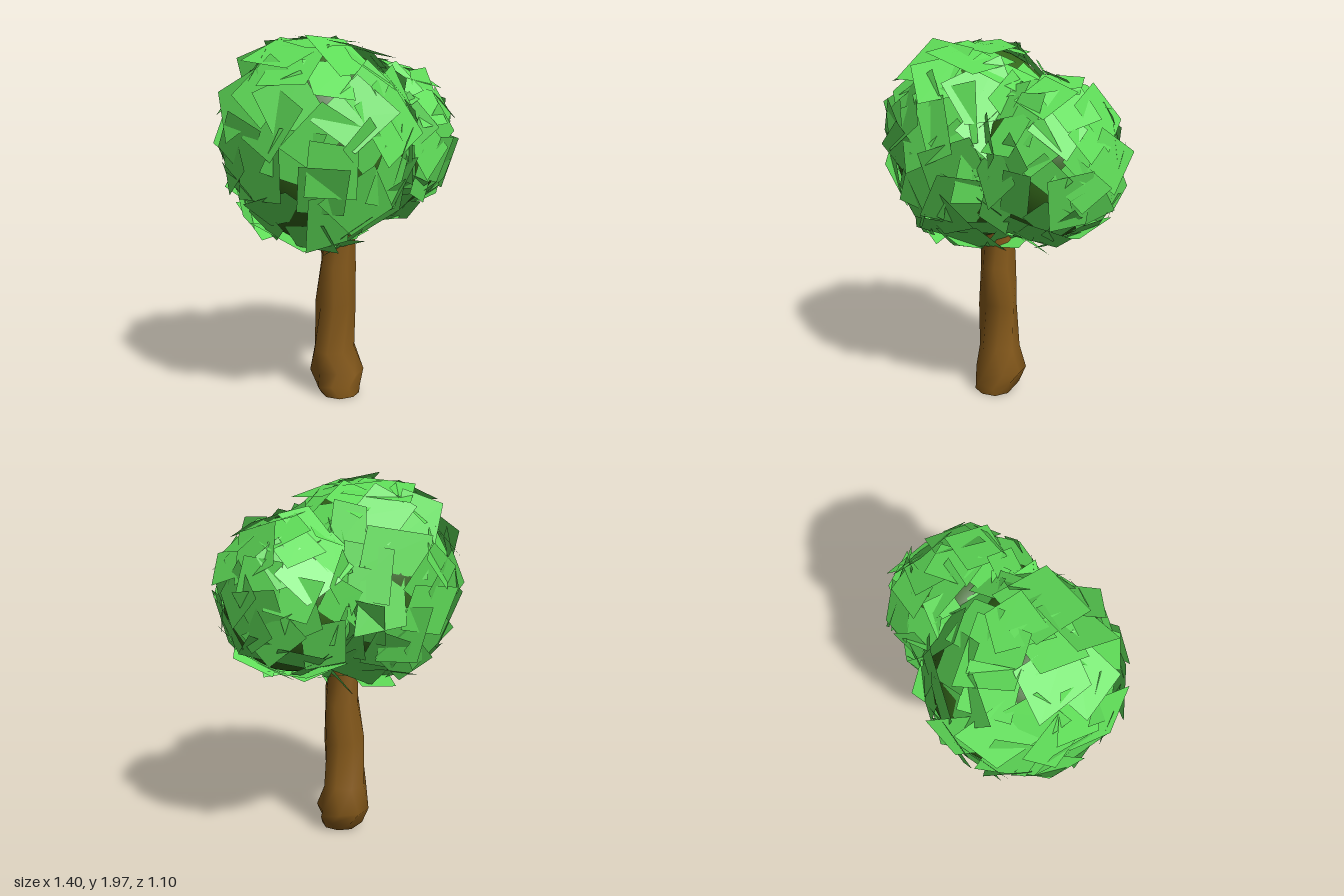
import * as THREE from 'three';
import { mergeGeometries, mergeVertices } from 'three/addons/utils/BufferGeometryUtils.js';

const barkMat = new THREE.MeshStandardMaterial({ color: 0x85591a, side: THREE.DoubleSide });
const coreMat = new THREE.MeshStandardMaterial({ color: 0x33661a });
const leafMat = new THREE.MeshStandardMaterial({ color: 0x5fdd58, side: THREE.DoubleSide });

// Small seeded generator returning values in -1..1
function makeRandom(seed) {
  return () => {
    seed = (seed * 1664525 + 1013904223) % 4294967296;
    return (seed / 4294967296) * 2 - 1;
  };
}

// Trunk outline: [y, xMin, xMax, zMin, zMax]
const trunkRings = [
  [0, -0.16, 0.05, -0.07, 0.14],
  [0.05, -0.18, 0.08, -0.1, 0.14],
  [0.13, -0.18, 0.1, -0.15, 0.14],
  [0.26, -0.18, 0.07, -0.12, 0.1],
  [0.52, -0.175, 0.065, -0.09, 0.1],
  [0.74, -0.14, 0.05, -0.09, 0.11],
  [0.96, -0.135, 0.04, -0.08, 0.11],
];

function makeTrunk() {
  const sides = 8;
  const random = makeRandom(5);
  const positions = [];
  const index = [];
  trunkRings.forEach(([y, x0, x1, z0, z1], r) => {
    for (let i = 0; i < sides; i++) {
      const a = ((i + (r % 2) * 0.35) / sides) * Math.PI * 2;
      const k = 1 + random() * 0.04;
      positions.push(
        (x0 + x1) / 2 + ((x1 - x0) / 2) * Math.cos(a) * k,
        r === 0 ? 0 : y + random() * 0.02,
        (z0 + z1) / 2 + ((z1 - z0) / 2) * Math.sin(a) * k
      );
      if (r === 0) continue;
      const j = (i + 1) % sides;
      const [a0, b0, a1, b1] = [(r - 1) * sides + i, (r - 1) * sides + j, r * sides + i, r * sides + j];
      index.push(a0, a1, b0, b0, a1, b1);
    }
  });
  const geometry = new THREE.BufferGeometry();
  geometry.setAttribute('position', new THREE.Float32BufferAttribute(positions, 3));
  geometry.setIndex(index);
  geometry.computeVertexNormals();
  const trunk = new THREE.Mesh(geometry, barkMat);
  trunk.name = 'trunk';
  return trunk;
}

// Flat leaf cards laid over an ellipsoid, each turned and tilted a little
function makeLeaves(radii, count, size, seed) {
  const random = makeRandom(seed);
  const cards = [];
  const dummy = new THREE.Object3D();
  for (let i = 0; i < count; i++) {
    const y = 1 - (2 * (i + 0.5)) / count;
    const a = i * 2.39996 + random() * 0.15;
    const s = Math.sqrt(1 - y * y);
    const dir = new THREE.Vector3(Math.cos(a) * s, y, Math.sin(a) * s);
    const w = size * (1 + random() * 0.25);
    const h = size * (1 + random() * 0.25);
    const card = new THREE.PlaneGeometry(w, h);
    // Skew the rectangle into a ragged leaf clump
    const p = card.attributes.position;
    for (let v = 0; v < 4; v++) {
      p.setXY(v, p.getX(v) + random() * size * 0.12, p.getY(v) + random() * size * 0.12);
    }
    dummy.position.copy(dir).multiply(radii);
    dummy.lookAt(dummy.position.clone().add(dir.clone().divide(radii)));
    dummy.rotateX(random() * 0.26);
    dummy.rotateY(random() * 0.26);
    dummy.rotateZ(random() * 0.9);
    dummy.updateMatrix();
    cards.push(card.applyMatrix4(dummy.matrix));
  }
  return new THREE.Mesh(mergeGeometries(cards), leafMat);
}

// One rounded clump: smooth dark core wrapped in leaf cards
function makeCrown(name, center, radii, count, size, seed) {
  const crown = new THREE.Group();
  crown.name = name;
  crown.position.set(...center);
  const shell = new THREE.Vector3(...radii);
  const ball = new THREE.SphereGeometry(1, 24, 16);
  ball.deleteAttribute('uv');
  const core = new THREE.Mesh(mergeVertices(ball), coreMat);
  core.name = name + 'Core';
  core.scale.copy(shell).multiplyScalar(0.965);
  const leaves = makeLeaves(shell, count, size, seed);
  leaves.name = name + 'Leaves';
  crown.add(core, leaves);
  return crown;
}

export function createModel() {
  const tree = new THREE.Group();
  tree.name = 'tree';
  tree.add(
    makeTrunk(),
    makeCrown('largeCrown', [-0.19, 1.41, 0], [0.465, 0.535, 0.485], 84, 0.27, 11),
    makeCrown('smallCrown', [0.29, 1.38, 0], [0.365, 0.41, 0.375], 78, 0.21, 23)
  );
  return tree;
}
